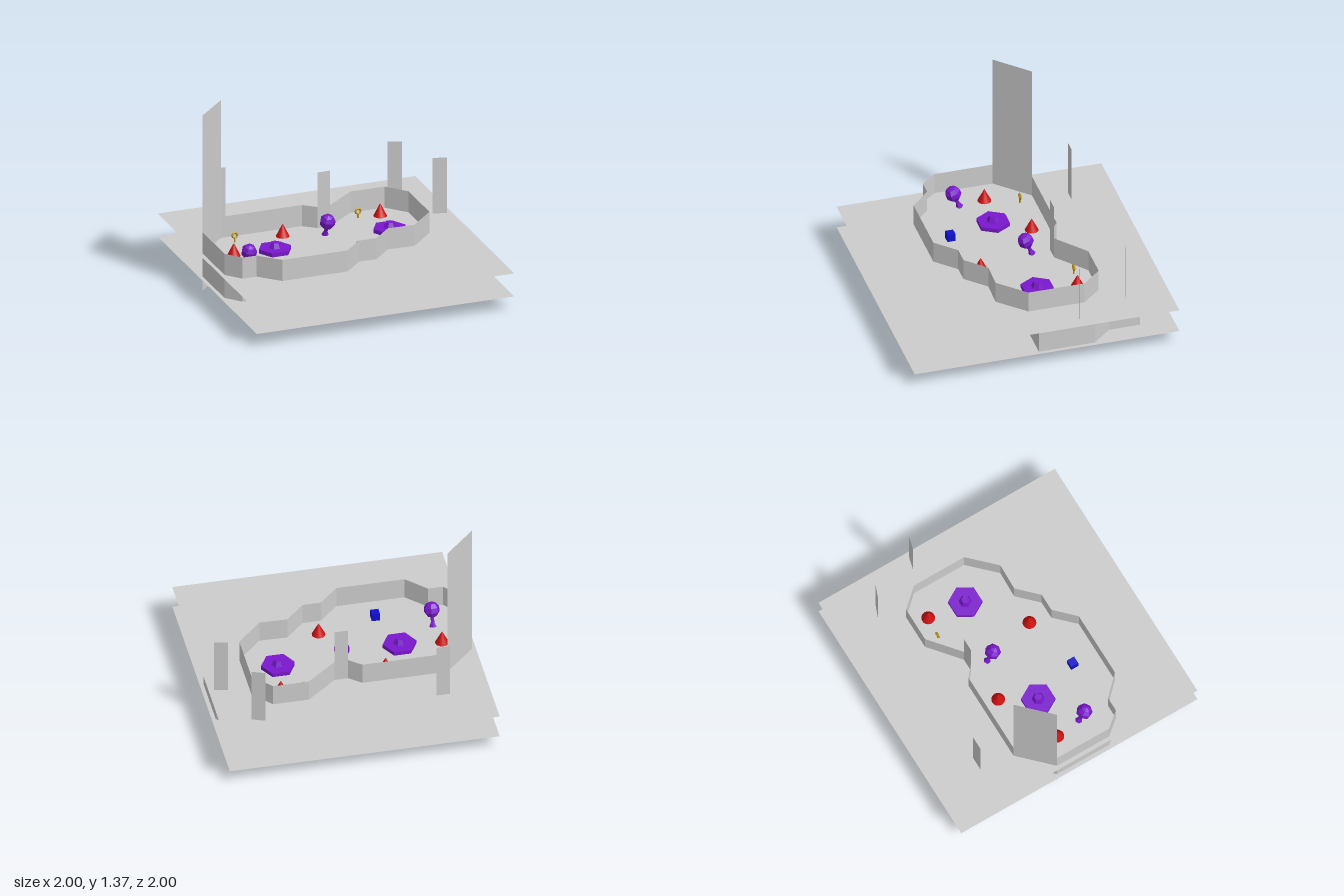
import * as THREE from 'three';
import { mergeGeometries } from 'three/addons/utils/BufferGeometryUtils.js';

const FLOOR = 0.29, BASE = 0.11, RIM = 0.455;

const paint = (color, side = THREE.FrontSide, flatShading = true) =>
  new THREE.MeshStandardMaterial({ color, side, flatShading });

// Upright sheet standing between two [x, z] points
function sheet([x0, z0], [x1, z1], y0, y1) {
  const dx = x1 - x0, dz = z1 - z0;
  const g = new THREE.PlaneGeometry(Math.hypot(dx, dz), y1 - y0);
  g.rotateY(Math.atan2(-dz, dx));
  return g.translate((x0 + x1) / 2, (y0 + y1) / 2, (z0 + z1) / 2);
}

// Row of upright sheets along a path of [x, z] points
function wall(path, y0, y1) {
  return mergeGeometries(path.slice(1).map((p, i) => sheet(path[i], p, y0, y1)));
}

export function createModel() {
  const model = new THREE.Group();
  const grey = paint(0xcccccc, THREE.DoubleSide);
  const purple = paint(0x7a18cc);
  const red = paint(0xcc1010, THREE.FrontSide, false);
  const blue = paint(0x1010cc);
  const yellow = paint(0xbb9a20);

  const add = (parent, name, geometry, material, x = 0, y = 0, z = 0) => {
    const mesh = new THREE.Mesh(geometry, material);
    mesh.name = name;
    mesh.position.set(x, y, z);
    parent.add(mesh);
    return mesh;
  };

  // Two square floors
  for (const [name, y] of [['lowerFloor', BASE], ['upperFloor', FLOOR]]) {
    add(model, name, new THREE.PlaneGeometry(2, 2).rotateX(-Math.PI / 2), grey, 0, y, 0);
  }

  // Cave wall rising through the upper floor
  const caveOutline = [
    [-0.97, -0.17], [-0.97, 0.27], [-0.875, 0.385], [-0.765, 0.385], [-0.62, 0.53],
    [-0.115, 0.53], [0.03, 0.385], [0.165, 0.385], [0.31, 0.24], [0.515, 0.246],
    [0.705, 0.053], [0.705, -0.37], [0.575, -0.515], [0.31, -0.515], [0.08, -0.325],
    [-0.02, -0.325], [-0.11, -0.4], [-0.74, -0.4],
  ];
  add(model, 'caveWall', wall(caveOutline, BASE, RIM), grey);

  // Wall of the room between the floors
  const roomOutline = [
    [0.26, 0.053], [0.97, 0.053], [0.97, -0.37], [0.84, -0.515],
    [0.84, -0.75], [0.26, -0.75], [0.26, 0.053],
  ];
  add(model, 'lowerRoomWall', wall(roomOutline, BASE, FLOOR), grey);

  // Tall corner panel and the small standing panels
  add(model, 'tallPanel', sheet([-0.97, -0.17], [-0.74, -0.4], 0, 1.37), grey);
  const panels = [
    [[-0.705, -0.66], [-0.605, -0.66], FLOOR],
    [[-0.02, -0.325], [0.08, -0.325], RIM],
    [[0.67, -0.695], [0.765, -0.658], FLOOR],
    [[0.86, -0.283], [0.96, -0.257], FLOOR],
  ];
  for (const [a, b, y] of panels) add(model, 'smallPanel', sheet(a, b, y, 0.725), grey);

  // Hexagonal platforms with a knob in the middle
  for (const [x, z] of [[-0.465, -0.025], [0.45, -0.09]]) {
    const platform = new THREE.Group();
    platform.name = 'hexPlatform';
    platform.position.set(x, FLOOR, z);
    const hex = (top, bottom, h) => new THREE.CylinderGeometry(top, bottom, h, 6).rotateY(Math.PI / 6);
    add(platform, 'platformSlab', hex(0.125, 0.125, 0.03), purple, 0, 0.015, 0);
    add(platform, 'platformKnob', hex(0.03, 0.048, 0.04), purple, 0, 0.05, 0);
    model.add(platform);
  }

  // Leaning mushroom plants
  for (const [x, z] of [[-0.75, 0.145], [-0.013, -0.185]]) {
    const plant = new THREE.Group();
    plant.name = 'plant';
    plant.position.set(x, FLOOR, z);
    plant.rotation.x = 0.38;
    const stem = [[0, 0], [0.028, 0], [0.014, 0.035], [0.012, 0.09]].map(p => new THREE.Vector2(...p));
    add(plant, 'plantStem', new THREE.LatheGeometry(stem, 6), purple);
    add(plant, 'plantHead', new THREE.SphereGeometry(0.06, 7, 5), purple, 0, 0.13, 0);
    model.add(plant);
  }

  // Red cones
  for (const [x, z] of [[-0.775, -0.05], [-0.31, -0.27], [0.49, -0.38], [0.08, 0.23]]) {
    add(model, 'cone', new THREE.ConeGeometry(0.05, 0.1, 20), red, x, FLOOR + 0.05, z);
  }

  // Blue cube
  add(model, 'cube', new THREE.BoxGeometry(0.06, 0.06, 0.06), blue, -0.36, FLOOR + 0.03, 0.33);

  // Yellow rings on thin posts
  for (const [x, z] of [[-0.675, -0.29], [0.325, -0.4]]) {
    const token = new THREE.Group();
    token.name = 'ringToken';
    token.position.set(x, FLOOR, z);
    add(token, 'tokenPost', new THREE.CylinderGeometry(0.006, 0.006, 0.04, 6), yellow, 0, 0.02, 0);
    add(token, 'tokenRing', new THREE.TorusGeometry(0.02, 0.008, 4, 8), yellow, 0, 0.054, 0);
    model.add(token);
  }

  return model;
}
